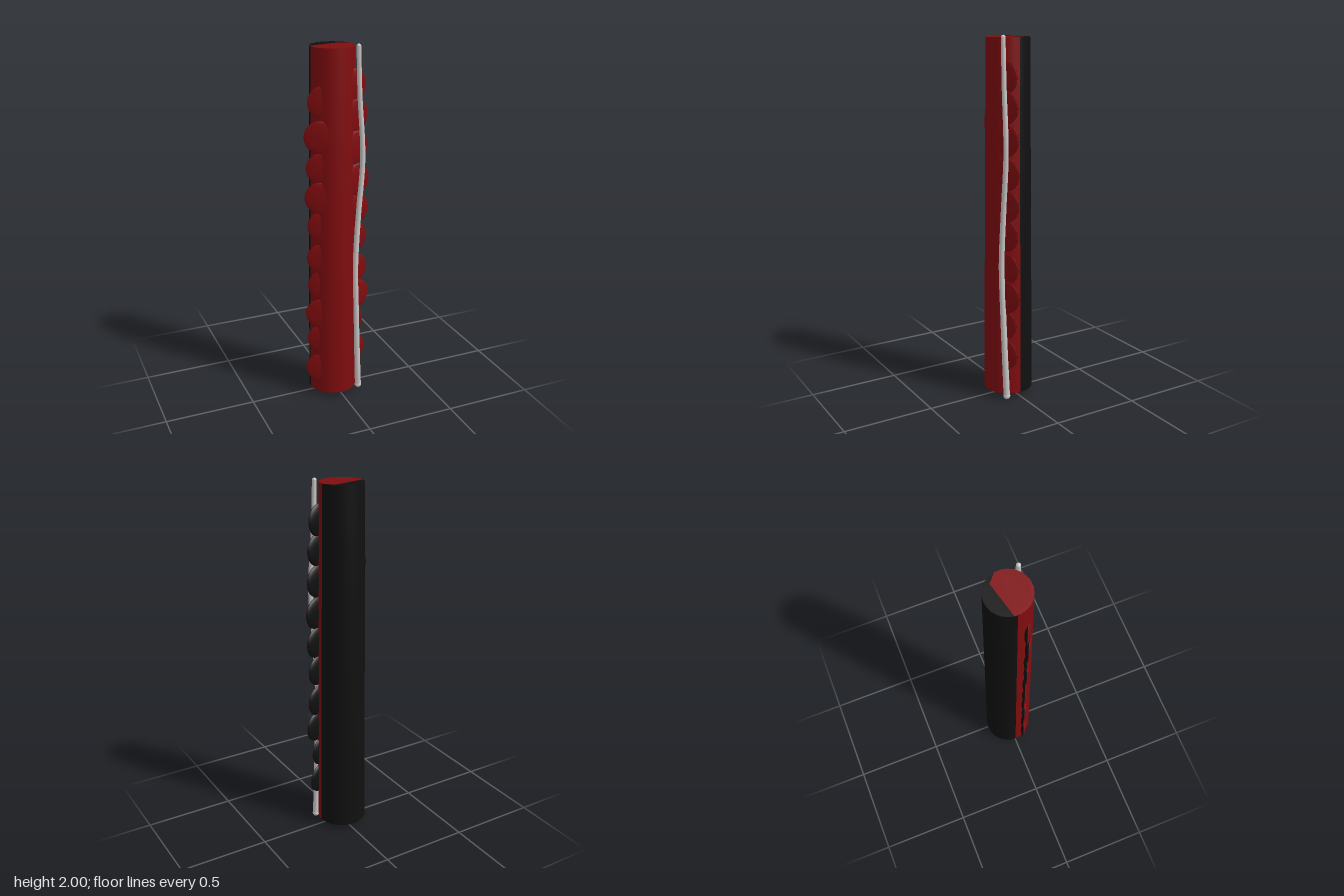
import * as THREE from 'three';

const red = new THREE.MeshStandardMaterial({ name: 'deepRed', color: 0x800c0f });
const black = new THREE.MeshStandardMaterial({ name: 'black', color: 0x101010 });
const pale = new THREE.MeshStandardMaterial({ name: 'paleGrey', color: 0xc8c6c4 });

const TOP_R = 0.117, BOTTOM_R = 0.137, BASE = 0.025, HEIGHT = 1.962, CENTRE = -0.01;
const rad = THREE.MathUtils.degToRad;

function addMesh(parent, name, geometry, material) {
  const mesh = new THREE.Mesh(geometry, material);
  mesh.name = name;
  parent.add(mesh);
  return mesh;
}

// Flat piece of an end cap: an arc of the rim (degrees) plus optional inner corners
function capPiece(radius, from, to, inner = []) {
  const pts = [];
  const steps = Math.max(2, Math.round((to - from) / 15));
  for (let i = 0; i <= steps; i++) {
    const a = rad(from + ((to - from) * i) / steps);
    pts.push(new THREE.Vector2(radius * Math.cos(a), radius * Math.sin(a)));
  }
  inner.forEach(([x, y]) => pts.push(new THREE.Vector2(x, y)));
  return new THREE.ShapeGeometry(new THREE.Shape(pts));
}

function createStalk() {
  const stalk = new THREE.Group();
  stalk.name = 'stalk';
  stalk.position.set(CENTRE, BASE, 0);

  // Tapered wall, red in front and black behind
  const wall = (start) =>
    new THREE.CylinderGeometry(TOP_R, BOTTOM_R, HEIGHT, 12, 8, true, start, Math.PI)
      .translate(0, HEIGHT / 2, 0);
  addMesh(stalk, 'frontWall', wall(-Math.PI / 2), red);
  addMesh(stalk, 'backWall', wall(Math.PI / 2), black);

  // Two-coloured end caps
  const bend = [[0.07, 0.06]];
  const top = (g) => g.rotateX(-Math.PI / 2).translate(0, HEIGHT, 0);
  const bottom = (g) => g.rotateX(Math.PI / 2);
  addMesh(stalk, 'topCapBack', top(capPiece(TOP_R, 10, 172, bend)), black);
  addMesh(stalk, 'topCapFront', top(capPiece(TOP_R, 172, 370, bend)), red);
  addMesh(stalk, 'bottomCapBack', bottom(capPiece(BOTTOM_R, 225, 310)), black);
  addMesh(stalk, 'bottomCapFront', bottom(capPiece(BOTTOM_R, -50, 225)), red);
  return stalk;
}

// Lens-shaped sucker: shallow red face, deeper black back
function createSucker(radius) {
  const sucker = new THREE.Group();
  sucker.name = 'sucker';
  const half = (start, depth) =>
    new THREE.SphereGeometry(radius, 24, 8, 0, Math.PI * 2, start, Math.PI / 2)
      .rotateX(Math.PI / 2).scale(1, 1, depth / radius);
  addMesh(sucker, 'suckerFace', half(0, 0.01), red);
  addMesh(sucker, 'suckerBack', half(Math.PI / 2, 0.022), black);
  return sucker;
}

// One row of suckers; each entry is [height, outermost x]
function createSuckerRow(name, side, radius, tilt, tipZ, entries) {
  const row = new THREE.Group();
  row.name = name;
  for (const [y, tipX] of entries) {
    const sucker = createSucker(radius);
    sucker.rotation.y = side * tilt;
    sucker.position.set(
      side * (tipX - radius * Math.cos(tilt)), y, tipZ + radius * Math.sin(tilt));
    row.add(sucker);
  }
  return row;
}

// Winding cord, thicker towards the bottom, with rounded ends
function createCord() {
  const cord = new THREE.Group();
  cord.name = 'cord';
  const path = new THREE.CatmullRomCurve3([
    [0.117, 0.02, 0.085], [0.105, 0.27, 0.09], [0.095, 0.52, 0.095], [0.087, 0.78, 0.099],
    [0.103, 1.08, 0.096], [0.126, 1.4, 0.094], [0.106, 1.74, 0.093], [0.097, 1.988, 0.093],
  ].map((p) => new THREE.Vector3(...p)));
  const steps = 56, sides = 12;
  const thickness = (t) => 0.018 - 0.006 * t;
  const tube = new THREE.TubeGeometry(path, steps, 1, sides);
  const pos = tube.attributes.position;
  const v = new THREE.Vector3();
  for (let i = 0; i < pos.count; i++) {
    const t = Math.floor(i / (sides + 1)) / steps;
    const centre = path.getPointAt(t);
    v.fromBufferAttribute(pos, i).sub(centre).multiplyScalar(thickness(t)).add(centre);
    pos.setXYZ(i, v.x, v.y, v.z);
  }
  addMesh(cord, 'cordLength', tube, pale);
  addMesh(cord, 'cordBottomEnd', new THREE.SphereGeometry(0.02, 16, 12), pale)
    .position.copy(path.getPoint(0));
  addMesh(cord, 'cordTopEnd', new THREE.SphereGeometry(0.012, 16, 12), pale)
    .position.copy(path.getPoint(1));
  return cord;
}

export function createModel() {
  const model = new THREE.Group();
  model.name = 'tentacle';
  model.add(createStalk());
  model.add(createSuckerRow('leftSuckers', 1, 0.09, 0.35, 0.048, [
    [1.785, 0.16], [1.63, 0.17], [1.46, 0.175], [1.28, 0.183], [1.11, 0.18],
    [0.945, 0.172], [0.76, 0.175], [0.6, 0.187], [0.435, 0.155], [0.26, 0.167],
  ]));
  model.add(createSuckerRow('rightSuckers', -1, 0.088, 0.49, 0.035, [
    [1.71, 0.164], [1.53, 0.185], [1.36, 0.175], [1.2, 0.184], [1.035, 0.17],
    [0.85, 0.175], [0.69, 0.17], [0.52, 0.185], [0.36, 0.175], [0.175, 0.187],
  ]));
  model.add(createCord());
  return model;
}
